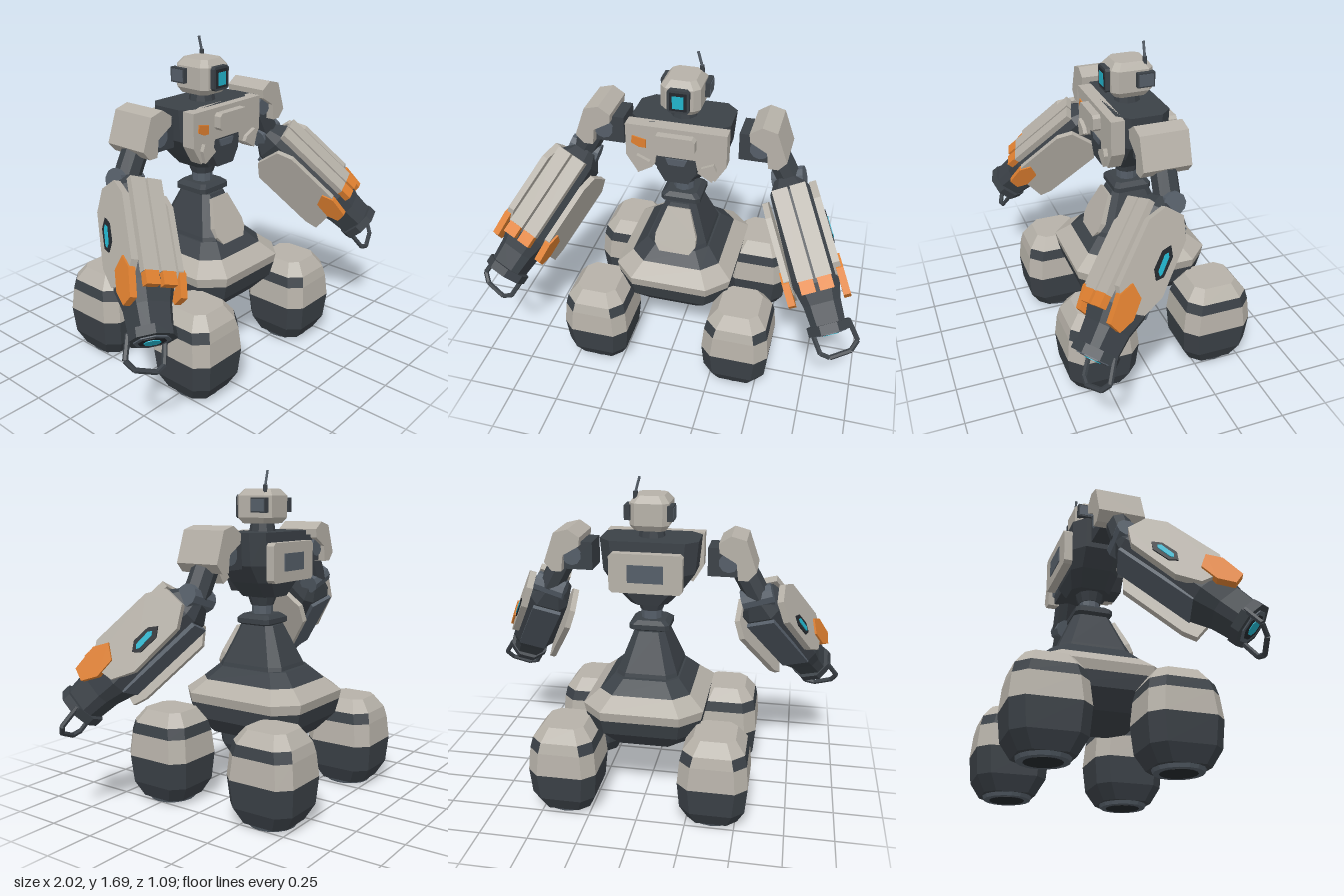
import * as THREE from 'three';

const mat = (name, color) => {
  const m = new THREE.MeshStandardMaterial({ color });
  m.name = name;
  return m;
};
const LIGHT = mat('warm grey armour', 0xb6b1a8);
const DARK = mat('dark frame', 0x3b4147);
const SLATE = mat('slate metal', 0x555e68);
const BLACK = mat('black recess', 0x24282d);
const ORANGE = mat('orange marking', 0xdf8030);
const CYAN = mat('cyan light', 0x22b4cc);

// Faceted mesh: every face keeps its own normal
function part(parent, name, geo, material, x = 0, y = 0, z = 0) {
  const g = geo.index ? geo.toNonIndexed() : geo;
  g.computeVertexNormals();
  const m = new THREE.Mesh(g, material);
  m.name = name;
  m.position.set(x, y, z);
  parent.add(m);
  return m;
}

// Chamfered-rectangle loft; sections are [y, halfX, halfZ, chamfer]
function loft(sections, { sides = [0, 1, 2, 3, 4, 5, 6, 7], bottom = true, top = true } = {}) {
  const rings = sections.map(([y, a, b, c]) => [
    [a, y, b - c], [a - c, y, b], [c - a, y, b], [-a, y, b - c],
    [-a, y, c - b], [c - a, y, -b], [a - c, y, -b], [a, y, c - b]]);
  const pos = [];
  const tri = (...pts) => pts.forEach((p) => pos.push(...p));
  for (let r = 0; r + 1 < rings.length; r++) {
    const lo = rings[r], hi = rings[r + 1];
    for (const i of sides) {
      const j = (i + 1) % 8;
      tri(lo[i], hi[i], lo[j]);
      tri(lo[j], hi[i], hi[j]);
    }
  }
  const first = rings[0], last = rings[rings.length - 1];
  for (let k = 1; k < 7; k++) {
    if (bottom) tri(first[0], first[k], first[k + 1]);
    if (top) tri(last[0], last[k + 1], last[k]);
  }
  const g = new THREE.BufferGeometry();
  g.setAttribute('position', new THREE.Float32BufferAttribute(pos, 3));
  return g;
}

// Flat outline pushed forward along z
const plate = (pts, depth) => new THREE.ExtrudeGeometry(
  new THREE.Shape(pts.map((p) => new THREE.Vector2(...p))), { depth, bevelEnabled: false });
const box = (w, h, d) => new THREE.BoxGeometry(w, h, d);
const octagon = (w, h, c) => [[w, h - c], [w - c, h], [c - w, h], [-w, h - c],
  [-w, c - h], [c - w, -h], [w - c, -h], [w, c - h]];
const mirrorPts = (half) => [...half, ...half.map(([x, y]) => [-x, y]).reverse()];

// Straight rod between two points
function rod(a, b, r, sides = 6) {
  const p = new THREE.Vector3(...a), d = new THREE.Vector3(...b).sub(p);
  const g = new THREE.CylinderGeometry(r, r, d.length(), sides);
  g.applyQuaternion(new THREE.Quaternion().setFromUnitVectors(new THREE.Vector3(0, 1, 0), d.clone().normalize()));
  return g.translate(p.x + d.x / 2, p.y + d.y / 2, p.z + d.z / 2);
}

// Mirrored copy across x with corner order corrected
function mirrored(src, name) {
  const out = new THREE.Group();
  out.name = name;
  src.updateMatrixWorld(true);
  src.traverse((o) => {
    if (!o.isMesh) return;
    const g = o.geometry.clone().applyMatrix4(o.matrixWorld);
    const p = g.attributes.position.array;
    for (let i = 0; i < p.length; i += 9) {
      for (let k = 0; k < 9; k += 3) p[i + k] *= -1;
      for (let k = 0; k < 3; k++) [p[i + 3 + k], p[i + 6 + k]] = [p[i + 6 + k], p[i + 3 + k]];
    }
    part(out, o.name, g, o.material);
  });
  return out;
}

function foot(x, z) {
  const f = new THREE.Group();
  f.name = 'foot';
  f.position.set(x, 0, z);
  const seam = [0.24, 0.177, 0.19, 0.06], rim = [0.36, 0.167, 0.178, 0.06], brow = [0.415, 0.155, 0.165, 0.06];
  part(f, 'footLower', loft([[0.02, 0.128, 0.132, 0.05], [0.1, 0.165, 0.178, 0.06], seam], { top: false }), DARK);
  part(f, 'footBand', loft([seam, rim], { bottom: false, top: false }), LIGHT);
  const outer = z > 0 ? 1 : 5;
  const rest = [0, 1, 2, 3, 4, 5, 6, 7].filter((i) => i !== outer);
  part(f, 'footDarkRing', loft([rim, brow], { sides: rest, bottom: false, top: false }), DARK);
  part(f, 'footFrontTab', loft([rim, brow], { sides: [outer], bottom: false, top: false }), LIGHT);
  part(f, 'footCap', loft([brow, [0.48, 0.105, 0.115, 0.04]], { bottom: false }), LIGHT);
  // Ring and recess under the foot
  part(f, 'soleRing', new THREE.CylinderGeometry(0.128, 0.12, 0.02, 16), SLATE, 0, 0.012, 0);
  part(f, 'soleDisc', new THREE.CylinderGeometry(0.09, 0.09, 0.004, 16), BLACK, 0, 0.002, 0);
  return f;
}

function arm() {
  const a = new THREE.Group();
  a.name = 'leftArm';
  // Shoulder
  part(a, 'shoulderBlock', box(0.15, 0.145, 0.16), DARK, 0.37, 1.283, -0.04);
  part(a, 'shoulderPivot', new THREE.CylinderGeometry(0.05, 0.05, 0.19, 10).rotateX(Math.PI / 2), SLATE, 0.4, 1.285, -0.04);
  part(a, 'shoulderArmour', plate([[0.35, 1.385], [0.41, 1.425], [0.485, 1.405], [0.54, 1.25],
    [0.5, 1.205], [0.45, 1.205], [0.44, 1.29], [0.355, 1.34]], 0.24), LIGHT, 0, 0, -0.157);
  part(a, 'upperArm', rod([0.44, 1.29, -0.04], [0.55, 1.09, -0.035], 0.065, 8), DARK);
  part(a, 'elbow', new THREE.CylinderGeometry(0.055, 0.055, 0.16, 10).rotateZ(Math.PI / 2 + 0.3), SLATE, 0.545, 1.09, -0.04);

  // Forearm: local x outward, y front/up, z towards the hand
  const f = new THREE.Group();
  f.name = 'forearm';
  const along = new THREE.Vector3(0.418, -0.685, 0.597).normalize();
  const out = new THREE.Vector3(1, 0, 0).addScaledVector(along, -along.x).normalize();
  const up = new THREE.Vector3().crossVectors(along, out);
  f.quaternion.setFromRotationMatrix(new THREE.Matrix4().makeBasis(out, up, along));
  f.position.set(0.533, 1.09, -0.03);
  a.add(f);
  const side = (pts, d) => plate(pts.map(([s, v]) => [-s, v]), d).rotateY(Math.PI / 2);

  part(f, 'forearmCore', loft([[0.0, 0.06, 0.06, 0.025], [0.07, 0.1, 0.105, 0.04], [0.54, 0.115, 0.12, 0.045],
    [0.64, 0.092, 0.095, 0.035], [0.77, 0.082, 0.085, 0.03]]).rotateX(Math.PI / 2), DARK);
  part(f, 'undersidePlate', box(0.15, 0.02, 0.46), SLATE, 0, -0.115, 0.31);
  for (const s of [-1, 1]) {
    part(f, 'frontPlate', box(0.078, 0.035, 0.46), LIGHT, s * 0.045, 0.127, 0.29);
    part(f, 'frontPlateTip', box(0.07, 0.038, 0.065), ORANGE, s * 0.045, 0.127, 0.55);
  }
  part(f, 'outerPanel', side([[0.05, -0.03], [0.06, 0.08], [0.15, 0.135], [0.47, 0.135], [0.56, 0.06],
    [0.53, -0.06], [0.42, -0.11], [0.14, -0.1]], 0.035), LIGHT, 0.1, 0, 0);
  part(f, 'outerMarking', side([[0.43, 0.08], [0.5, 0.118], [0.63, 0.1], [0.645, 0.035], [0.57, -0.005], [0.47, 0.005]], 0.035),
    ORANGE, 0.11, 0, 0);
  part(f, 'lightRecess', side([[0.2, -0.03], [0.24, 0.0], [0.33, 0.0], [0.37, -0.035], [0.34, -0.065], [0.24, -0.065]], 0.007),
    BLACK, 0.134, 0, 0);
  part(f, 'sideLight', side([[0.235, -0.03], [0.25, -0.017], [0.33, -0.022], [0.345, -0.04], [0.33, -0.047], [0.25, -0.043]], 0.006),
    CYAN, 0.139, 0, 0);
  part(f, 'innerPanel', side([[0.08, -0.08], [0.1, 0.07], [0.18, 0.11], [0.5, 0.11], [0.57, 0.05],
    [0.6, -0.13], [0.53, -0.15], [0.15, -0.15]], 0.03), LIGHT, -0.15, 0, 0);
  part(f, 'innerMarking', side([[0.45, 0.08], [0.51, 0.11], [0.62, 0.09], [0.63, 0.03], [0.57, 0.0], [0.48, 0.01]], 0.035),
    ORANGE, -0.16, 0, 0);

  // Hand opening
  const disc = (r, h) => new THREE.CylinderGeometry(r, r, h, 8).rotateY(Math.PI / 8).rotateX(Math.PI / 2);
  part(f, 'muzzleCollar', disc(0.115, 0.045), DARK, 0, 0, 0.765);
  part(f, 'muzzleRing', disc(0.085, 0.006), SLATE, 0, 0, 0.79);
  part(f, 'muzzleHole', disc(0.065, 0.005), BLACK, 0, 0, 0.793);
  part(f, 'muzzleLight', disc(0.04, 0.005), CYAN, 0, 0, 0.797);
  // Hand guard
  const guard = [[0.1, -0.03, 0.75], [0.115, -0.055, 0.86], [0.07, -0.06, 0.9], [-0.04, -0.06, 0.91], [-0.08, -0.055, 0.88], [-0.09, -0.03, 0.76]];
  for (let i = 0; i + 1 < guard.length; i++) part(f, 'handGuard', rod(guard[i], guard[i + 1], 0.013), DARK);
  return a;
}

export function createModel() {
  const model = new THREE.Group();
  model.name = 'robot';
  for (const x of [-0.385, 0.385]) for (const z of [0.27, -0.365]) model.add(foot(x, z));

  // Hips
  const hip = [0.5, 0.3, 0.35, 0.1], shelf = [0.615, 0.235, 0.28, 0.08];
  part(model, 'hipBase', loft([[0.33, 0.21, 0.25, 0.08], [0.42, 0.29, 0.33, 0.1], hip]), DARK, 0, 0, -0.05);
  part(model, 'hipArmour', loft([hip, [0.55, 0.312, 0.36, 0.11], shelf], { bottom: false, top: false }), LIGHT, 0, 0, -0.05);
  part(model, 'hipTop', loft([shelf, [0.68, 0.17, 0.21, 0.06]], { bottom: false }), DARK, 0, 0, -0.05);

  // Waist
  part(model, 'waist', loft([[0.64, 0.17, 0.205, 0.05], [0.7, 0.155, 0.19, 0.05], [0.9, 0.08, 0.1, 0.03]]), DARK, 0, 0, -0.04);
  part(model, 'waistPanel', plate(mirrorPts([[0.06, 0.12], [0.11, -0.03], [0.11, -0.08], [0.08, -0.125]]), 0.03),
    LIGHT, 0, 0.765, 0.105).rotation.x = -0.41;
  part(model, 'waistCollar', loft([[0.9, 0.085, 0.085, 0.02], [0.91, 0.105, 0.1, 0.02], [0.935, 0.105, 0.1, 0.02], [0.955, 0.08, 0.08, 0.02]]), DARK, 0, 0, -0.04);
  part(model, 'spine', new THREE.CylinderGeometry(0.055, 0.055, 0.14, 10), SLATE, 0, 1.0, -0.04);
  part(model, 'spineFlare', new THREE.CylinderGeometry(0.08, 0.06, 0.06, 10), DARK, 0, 1.03, -0.04);

  // Torso
  part(model, 'torso', loft([[1.05, 0.095, 0.105, 0.04], [1.13, 0.17, 0.13, 0.05], [1.22, 0.235, 0.14, 0.06], [1.385, 0.25, 0.14, 0.06]]), DARK, 0, 0, -0.05);
  part(model, 'belly', plate(mirrorPts([[0.11, 1.23], [0.1, 1.14], [0.06, 1.07]]), 0.06), DARK, 0, 0, 0.06);
  part(model, 'bellySlot', plate(mirrorPts([[0.055, 1.21], [0.04, 1.175]]), 0.008), SLATE, 0, 0, 0.12);
  part(model, 'chestPlate', plate(mirrorPts([[0.255, 1.385], [0.255, 1.21], [0.2, 1.12], [0.11, 1.17], [0.1, 1.225]]), 0.07), LIGHT, 0, 0, 0.065);
  part(model, 'chestPanel', plate(octagon(0.105, 0.043, 0.015), 0.04), LIGHT, 0, 1.318, 0.135);
  part(model, 'chestBadge', plate([[-0.22, 1.325], [-0.15, 1.31], [-0.15, 1.265], [-0.185, 1.265], [-0.225, 1.285]], 0.007), ORANGE, 0, 0, 0.134);
  for (const s of [-1, 1]) {
    part(model, 'chestPod', plate([[0.195, 1.225], [0.21, 1.19], [0.19, 1.125], [0.115, 1.17], [0.13, 1.195]]
      .map(([x, y]) => [s * x, y]), 0.022), LIGHT, 0, 0, 0.134);
  }
  part(model, 'backPlate', plate(octagon(0.185, 0.1, 0.015), 0.045), LIGHT, 0, 1.235, -0.235);
  part(model, 'backHatch', box(0.18, 0.09, 0.008), SLATE, 0, 1.235, -0.236);

  // Head
  part(model, 'neck', new THREE.CylinderGeometry(0.06, 0.07, 0.06, 10), DARK, 0, 1.405, -0.04);
  part(model, 'head', loft([[1.425, 0.08, 0.085, 0.025], [1.455, 0.1, 0.107, 0.03], [1.565, 0.1, 0.107, 0.03], [1.6, 0.072, 0.08, 0.025]]), LIGHT, 0, 0, -0.04);
  part(model, 'visorFrame', plate(octagon(0.055, 0.06, 0.012), 0.035), DARK, 0, 1.51, 0.055);
  part(model, 'visorRecess', box(0.084, 0.094, 0.004), BLACK, 0, 1.51, 0.091);
  part(model, 'visorLight', box(0.056, 0.066, 0.005), CYAN, 0, 1.508, 0.093);
  for (const s of [-1, 1]) {
    part(model, 'ear', box(0.03, 0.075, 0.09), DARK, s * 0.108, 1.518, -0.095);
    part(model, 'earFace', box(0.006, 0.06, 0.075), SLATE, s * 0.123, 1.518, -0.095);
  }
  part(model, 'antennaBase', rod([0.073, 1.575, -0.105], [0.07, 1.62, -0.105], 0.012), DARK);
  part(model, 'antenna', rod([0.072, 1.61, -0.105], [0.05, 1.69, -0.105], 0.007), SLATE);

  const left = arm();
  model.add(left, mirrored(left, 'rightArm'));
  return model;
}
